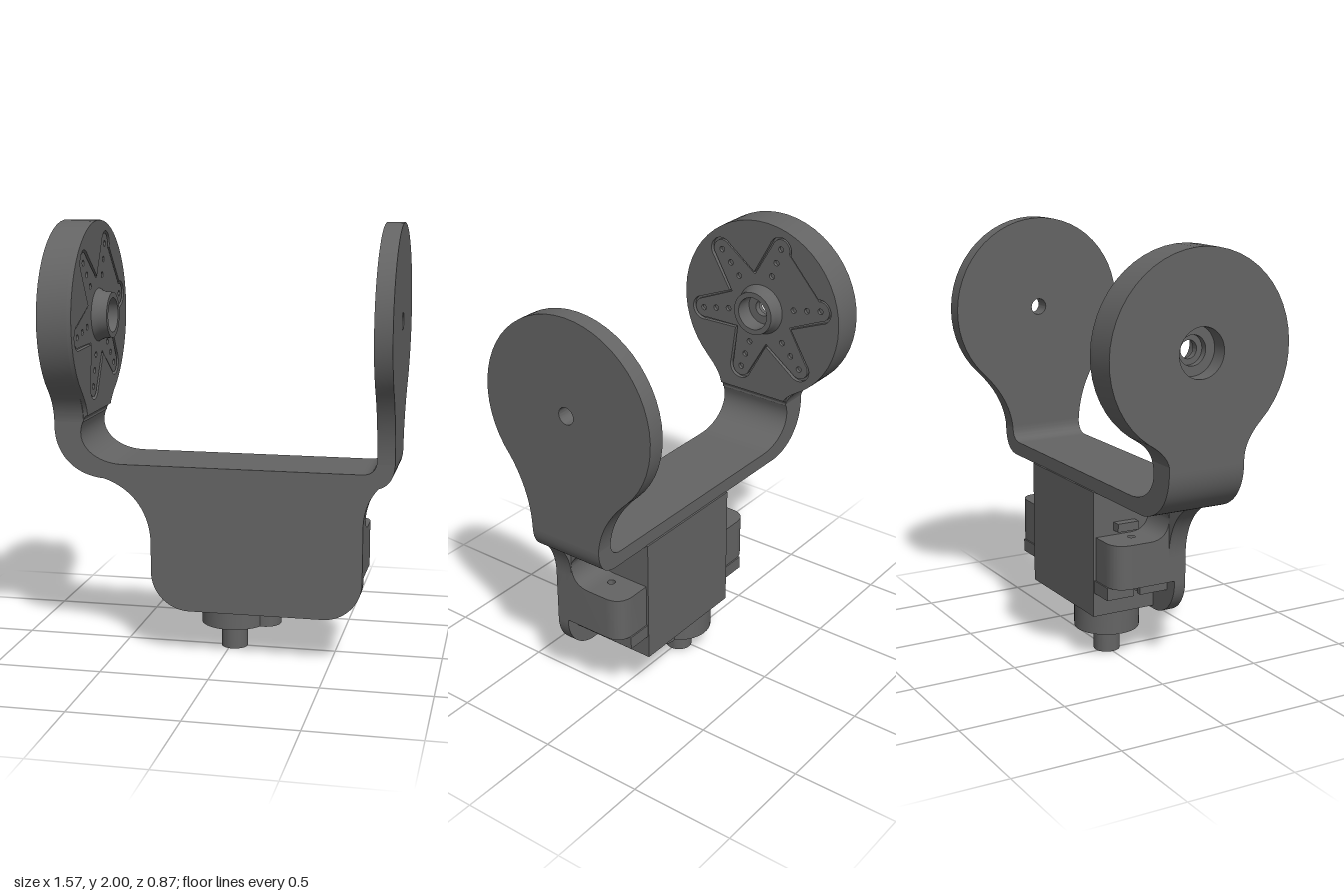
import * as THREE from 'three';
import { toCreasedNormals } from 'three/addons/utils/BufferGeometryUtils.js';

const PIVOT_Y = 1.5625;
const HEAD_R = 0.4375;

export function createModel() {
  const group = new THREE.Group();
  const material = new THREE.MeshStandardMaterial({ color: 0x646464 });

  const add = (name, geometry) => {
    const mesh = new THREE.Mesh(toCreasedNormals(geometry, 0.55), material);
    mesh.name = name;
    group.add(mesh);
  };
  const extrude = (shape, depth) =>
    new THREE.ExtrudeGeometry(shape, { depth, bevelEnabled: false, curveSegments: 20 });
  // Extrusions along each axis; X shapes use (-z, y), Y shapes use (x, -z)
  const alongX = (shape, x0, x1) => extrude(shape, x1 - x0).rotateY(Math.PI / 2).translate(x0, 0, 0);
  const alongY = (shape, y0, y1) => extrude(shape, y1 - y0).rotateX(-Math.PI / 2).translate(0, y0, 0);
  const alongZ = (shape, z0, z1) => extrude(shape, z1 - z0).translate(0, 0, z0);
  const box = (x0, x1, y0, y1, z0, z1) =>
    new THREE.BoxGeometry(x1 - x0, y1 - y0, z1 - z0)
      .translate((x0 + x1) / 2, (y0 + y1) / 2, (z0 + z1) / 2);
  const circle = (x, y, r) => new THREE.Path().absarc(x, y, r, 0, Math.PI * 2, true);

  // Round head flaring down to a neck; backZ and frontZ are where the flare leaves the circle
  const armShape = (y0, backZ, frontZ, bendY, hole) => {
    const s = new THREE.Shape();
    const backAngle = -Math.acos(backZ / HEAD_R);
    const frontAngle = Math.PI + Math.acos(frontZ / HEAD_R);
    s.moveTo(-0.221, y0);
    s.lineTo(0.151, y0);
    s.quadraticCurveTo(0.16, bendY, backZ, PIVOT_Y + HEAD_R * Math.sin(backAngle));
    s.absarc(0, PIVOT_Y, HEAD_R, backAngle, frontAngle, false);
    s.quadraticCurveTo(-0.225, bendY + 0.02, -0.221, y0);
    s.holes.push(hole);
    return s;
  };

  // Six tapered spokes with rounded tips
  const spokeAngle = (i) => 1.257 + (i * Math.PI) / 3;
  const star = (path, grow) => {
    for (let i = 0; i < 6; i++) {
      const a = spokeAngle(i), v = a - Math.PI / 6, r = 0.175 + grow;
      const vx = r * Math.cos(v), vy = PIVOT_Y + r * Math.sin(v);
      if (i === 0) path.moveTo(vx, vy);
      else path.lineTo(vx, vy);
      path.absarc(0.34 * Math.cos(a), PIVOT_Y + 0.34 * Math.sin(a), 0.048 + grow,
        a - Math.PI / 2, a + Math.PI / 2, false);
    }
    path.closePath();
    return path;
  };

  // Bracket arms
  add('idlerArm', alongX(armShape(0.95, 0.31, 0.33, 1.11, circle(0, PIVOT_Y, 0.039)), 0.705, 0.785));
  add('driveArm', alongX(armShape(1.09, 0.25, 0.3, 1.15, circle(0, PIVOT_Y, 0.11)), -0.785, -0.645));
  add('driveArmFace',
    alongX(armShape(1.12, 0.25, 0.3, 1.15, star(new THREE.Path(), 0.012)), -0.645, -0.625));

  // Servo horn with screw holes, set into the drive arm
  const horn = star(new THREE.Shape(), 0);
  horn.holes.push(circle(0, PIVOT_Y, 0.1));
  for (let i = 0; i < 6; i++) {
    for (const r of [0.19, 0.265, 0.34]) {
      const a = spokeAngle(i);
      horn.holes.push(circle(r * Math.cos(a), PIVOT_Y + r * Math.sin(a), 0.014));
    }
  }
  add('horn', alongX(horn, -0.646, -0.63));

  // Hollow hub with a stepped recess on the outside
  const hubProfile = [
    [0.04, -0.68], [0.066, -0.68], [0.066, -0.71], [0.112, -0.71], [0.125, -0.632],
    [0.117, -0.618], [0.109, -0.6], [0.106, -0.562], [0.08, -0.562], [0.08, -0.65],
    [0.04, -0.65], [0.04, -0.68],
  ].map(([r, h]) => new THREE.Vector2(r, h));
  add('hornHub', new THREE.LatheGeometry(hubProfile, 40)
    .rotateZ(-Math.PI / 2).translate(0, PIVOT_Y, 0));

  // Cross strip bending up into both arms
  const strip = new THREE.Shape();
  strip.moveTo(-0.785, 1.13);
  strip.lineTo(-0.785, 1.07);
  strip.bezierCurveTo(-0.785, 0.94, -0.7, 0.85, -0.57, 0.833);
  strip.lineTo(0.68, 0.833);
  strip.quadraticCurveTo(0.785, 0.84, 0.785, 0.96);
  strip.lineTo(0.705, 0.97);
  strip.quadraticCurveTo(0.705, 0.9, 0.635, 0.9);
  strip.lineTo(-0.46, 0.9);
  strip.bezierCurveTo(-0.59, 0.9, -0.68, 0.98, -0.655, 1.07);
  strip.quadraticCurveTo(-0.645, 1.11, -0.625, 1.13);
  add('crossStrip', alongZ(strip, -0.152, 0.221));

  // Front plate, thicker in its upper half
  const plateShape = (full) => {
    const s = new THREE.Shape();
    s.moveTo(-0.6, 0.843);
    s.bezierCurveTo(-0.42, 0.81, -0.333, 0.68, -0.333, 0.53);
    if (full) {
      s.absarc(-0.153, 0.4, 0.18, Math.PI, Math.PI * 1.5, false);
      s.absarc(0.467, 0.4, 0.18, -Math.PI / 2, 0, false);
    } else {
      s.lineTo(0.647, 0.53);
    }
    s.lineTo(0.647, 0.66);
    s.quadraticCurveTo(0.65, 0.79, 0.745, 0.87);
    s.lineTo(0.7, 0.89);
    s.lineTo(-0.56, 0.89);
    return s;
  };
  add('frontPlate', alongZ(plateShape(true), 0.162, 0.22));
  add('plateThickening', alongZ(plateShape(false), 0.13, 0.165));

  // Screw posts beside the servo, with the web that joins them to plate and strip
  for (const [side, inner, outer] of [['left', 0.46, 0.647], ['right', -0.15, -0.333]]) {
    const d = Math.sign(outer - inner);
    const post = new THREE.Shape();
    post.moveTo(inner, -0.19);
    post.lineTo(outer, -0.19);
    post.lineTo(outer, 0.06);
    post.quadraticCurveTo(outer, 0.15, outer - d * 0.09, 0.15);
    post.lineTo(inner, 0.15);
    post.holes.push(circle(inner + d * 0.065, 0, 0.018));
    add(side + 'ScrewPost', alongY(post, 0.412, 0.62));

    const web = new THREE.Shape();
    web.moveTo(-0.16, 0.6);
    web.lineTo(-0.03, 0.62);
    web.quadraticCurveTo(-0.13, 0.62, -0.13, 0.72);
    web.quadraticCurveTo(-0.13, 0.75, -0.04, 0.835);
    web.lineTo(-0.16, 0.835);
    add(side + 'Web', alongX(web, Math.min(inner, outer), Math.max(inner, outer)));
  }

  // Servo body, mounting ears and cable exit
  add('servoBody', box(-0.148, 0.462, 0.237, 0.836, -0.161, 0.16));
  const ears = new THREE.Shape();
  ears.moveTo(-0.27, -0.16);
  ears.lineTo(0.585, -0.16);
  ears.lineTo(0.585, -0.016);
  ears.lineTo(0.545, -0.016);
  ears.absarc(0.525, 0, 0.03, -0.6, 0.6, true);
  ears.lineTo(0.585, 0.016);
  ears.lineTo(0.585, 0.157);
  ears.lineTo(-0.27, 0.157);
  ears.lineTo(-0.27, 0.016);
  ears.absarc(-0.215, 0, 0.03, Math.PI - 0.6, Math.PI + 0.6, true);
  ears.lineTo(-0.27, -0.016);
  add('servoEars', alongY(ears, 0.352, 0.413));
  add('cableExit', box(-0.19, -0.14, 0.64, 0.68, -0.055, 0.055));

  // Gear housing and output shaft
  const cylinder = (x, r, y0, y1) =>
    new THREE.CylinderGeometry(r, r, y1 - y0, 40).translate(x, (y0 + y1) / 2, 0);
  add('gearHousing', cylinder(0.018, 0.155, 0.122, 0.24));
  add('idlerGearHousing', cylinder(0.165, 0.076, 0.122, 0.24));
  const shaft = new THREE.Shape().absarc(0.018, 0, 0.062, 0, Math.PI * 2, false);
  shaft.holes.push(circle(0.018, 0, 0.022));
  add('outputShaft', alongY(shaft, 0, 0.124));

  return group;
}
